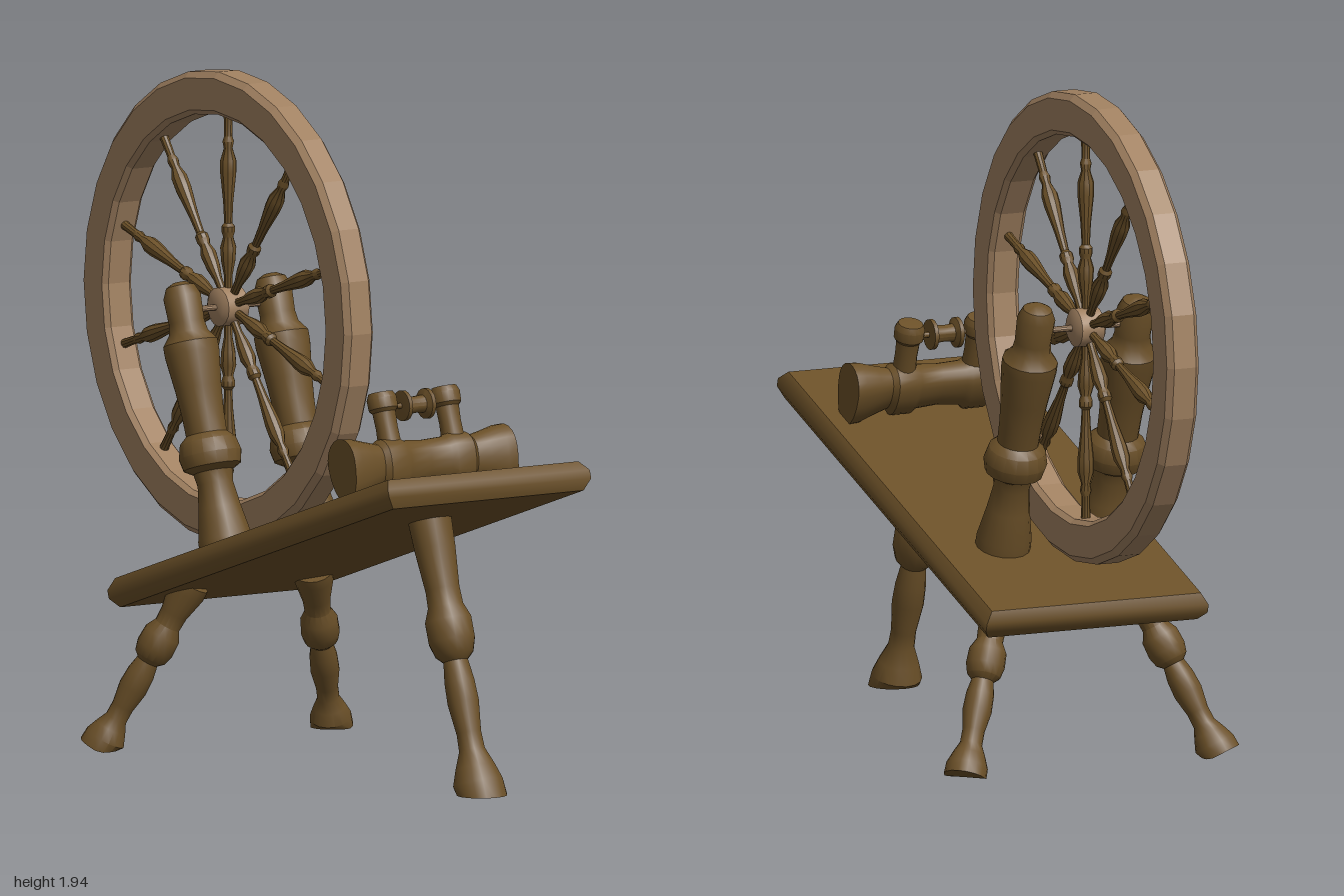
import * as THREE from 'three';
import { toCreasedNormals } from 'three/addons/utils/BufferGeometryUtils.js';

const wood = new THREE.MeshStandardMaterial({ color: 0x6b5028 });
const paleWood = new THREE.MeshStandardMaterial({ color: 0xa08060 });

// Turned part from [radius, height] pairs, axis along y
function turned(profile, sides = 16) {
  return new THREE.LatheGeometry(profile.map(([r, h]) => new THREE.Vector2(r, h)), sides);
}

function add(parent, name, geometry, material = wood, x = 0, y = 0, z = 0) {
  const mesh = new THREE.Mesh(toCreasedNormals(geometry, 0.6), material);
  mesh.name = name;
  mesh.position.set(x, y, z);
  parent.add(mesh);
  return mesh;
}

// Mirrors a half profile [radius, distance] into one running from -end to +end
function mirrored(half) {
  const left = half.map(([r, d]) => [r, -d]);
  return [...left, ...half.slice().reverse()];
}

// Leg turned along the line from foot to top, with its underside levelled to the ground
function addLeg(parent, name, foot, top, profile) {
  const dir = new THREE.Vector3().subVectors(top, foot).normalize();
  const q = new THREE.Quaternion().setFromUnitVectors(new THREE.Vector3(0, 1, 0), dir);
  const geo = turned(profile).applyQuaternion(q).translate(foot.x, foot.y, foot.z);
  const p = geo.attributes.position;
  for (let i = 0; i < p.count; i++) p.setY(i, Math.max(0.01, p.getY(i)));
  geo.computeVertexNormals();
  add(parent, name, geo);
}

export function createModel() {
  const model = new THREE.Group();
  model.name = 'spinningWheel';

  // Sloping bed and everything standing square to it
  const bed = new THREE.Group();
  bed.name = 'bed';
  bed.position.set(0, 0.68, 0.258);
  bed.rotation.x = -Math.PI / 10;
  model.add(bed);

  const w = 0.328, l = 0.728;
  const outline = new THREE.Shape();
  outline.moveTo(-w, -l).lineTo(w, -l).lineTo(w, l).lineTo(-w, l).closePath();
  const plank = new THREE.ExtrudeGeometry(outline, {
    depth: 0.025, bevelEnabled: true, bevelSize: 0.02, bevelThickness: 0.03, bevelSegments: 1,
  });
  plank.translate(0, 0, -0.0125).rotateX(-Math.PI / 2);
  add(bed, 'plank', plank);

  // Pair of turned uprights carrying the wheel
  const upright = [
    [0, -0.02], [0.08, -0.02], [0.079, 0.03], [0.062, 0.12], [0.052, 0.19], [0.058, 0.225],
    [0.084, 0.24], [0.092, 0.275], [0.082, 0.315], [0.06, 0.335], [0.062, 0.4], [0.068, 0.47],
    [0.08, 0.57], [0.08, 0.6], [0.057, 0.63], [0.052, 0.66], [0.055, 0.735], [0.042, 0.765], [0.02, 0.777], [0, 0.777],
  ];
  for (const x of [-0.181, 0.132]) add(bed, 'wheelUpright', turned(upright), wood, x, 0.0425, -0.359);

  // Cross block: turned bar whose lower half is drawn down to the bed
  const bar = turned(mirrored([
    [0, 0.28], [0.07, 0.28], [0.068, 0.25], [0.055, 0.2], [0.046, 0.16], [0.058, 0.145], [0.058, 0.085], [0.05, 0.07], [0.046, 0],
  ]), 20).rotateZ(-Math.PI / 2);
  const bp = bar.attributes.position;
  for (let i = 0; i < bp.count; i++) if (bp.getY(i) < 0) bp.setY(i, bp.getY(i) * 1.7);
  bar.computeVertexNormals();
  add(bed, 'crossBlock', bar, wood, 0, 0.143, 0.438);

  // Small posts on the cross block, holding the bobbin
  const post = [
    [0, 0.1], [0.036, 0.1], [0.032, 0.19], [0.034, 0.235], [0.043, 0.245], [0.044, 0.275], [0.036, 0.292], [0, 0.295],
  ];
  for (const x of [-0.105, 0.113]) add(bed, 'bobbinPost', turned(post), wood, x, 0.0425, 0.438);
  const bobbin = turned(mirrored([
    [0, 0.115], [0.008, 0.115], [0.008, 0.048], [0.044, 0.046], [0.044, 0.034], [0.026, 0.026], [0.024, 0],
  ])).rotateZ(-Math.PI / 2);
  add(bed, 'bobbin', bobbin, wood, 0.003, 0.292, 0.438);

  // Wheel, built about its axle along x
  const wheel = new THREE.Group();
  wheel.name = 'wheel';
  wheel.position.set(-0.026, 1.27, -0.318);
  model.add(wheel);

  const rim = turned([
    [0.568, -0.05], [0.66, -0.05], [0.678, -0.034], [0.678, 0.034], [0.66, 0.05],
    [0.568, 0.05], [0.555, 0.036], [0.555, -0.036], [0.568, -0.05],
  ], 28).rotateZ(-Math.PI / 2);
  const rimMesh = add(wheel, 'rim', rim, paleWood);
  rimMesh.geometry = toCreasedNormals(rim, 0.1);

  const hub = turned(mirrored([[0, 0.045], [0.04, 0.045], [0.056, 0.035], [0.056, 0]])).rotateZ(-Math.PI / 2);
  add(wheel, 'hub', hub, paleWood);
  add(wheel, 'axle', new THREE.CylinderGeometry(0.009, 0.009, 0.32, 10).rotateZ(Math.PI / 2), paleWood);

  const spoke = [
    [0.012, 0.04], [0.013, 0.09], [0.021, 0.13], [0.024, 0.17], [0.015, 0.2], [0.02, 0.215], [0.02, 0.23],
    [0.012, 0.24], [0.015, 0.3], [0.024, 0.385], [0.024, 0.42], [0.013, 0.455], [0.017, 0.475], [0.012, 0.49], [0.014, 0.57],
  ];
  for (let i = 0; i < 10; i++) {
    add(wheel, 'spoke', turned(spoke, 10)).rotation.x = (i * Math.PI) / 5;
  }

  // One long front leg and two splayed back legs
  addLeg(model, 'frontLeg', new THREE.Vector3(0, 0.01, 0.922), new THREE.Vector3(0, 0.78, 0.663), [
    [0, -0.03], [0.074, -0.03], [0.073, 0.035], [0.058, 0.08], [0.038, 0.13], [0.036, 0.18], [0.046, 0.27],
    [0.044, 0.33], [0.036, 0.39], [0.056, 0.41], [0.068, 0.45], [0.068, 0.51], [0.052, 0.55], [0.05, 0.6],
    [0.06, 0.72], [0.065, 0.83], [0, 0.84],
  ]);
  for (const s of [-1, 1]) {
    addLeg(model, 'backLeg', new THREE.Vector3(s * 0.4, 0.015, -0.42), new THREE.Vector3(s * 0.22, 0.475, -0.245), [
      [0, 0], [0.062, 0], [0.06, 0.035], [0.046, 0.07], [0.032, 0.1], [0.032, 0.14], [0.042, 0.2], [0.04, 0.25],
      [0.032, 0.29], [0.048, 0.305], [0.056, 0.335], [0.054, 0.38], [0.038, 0.41], [0.04, 0.45], [0.056, 0.52], [0.056, 0.55], [0, 0.55],
    ]);
  }
  return model;
}
